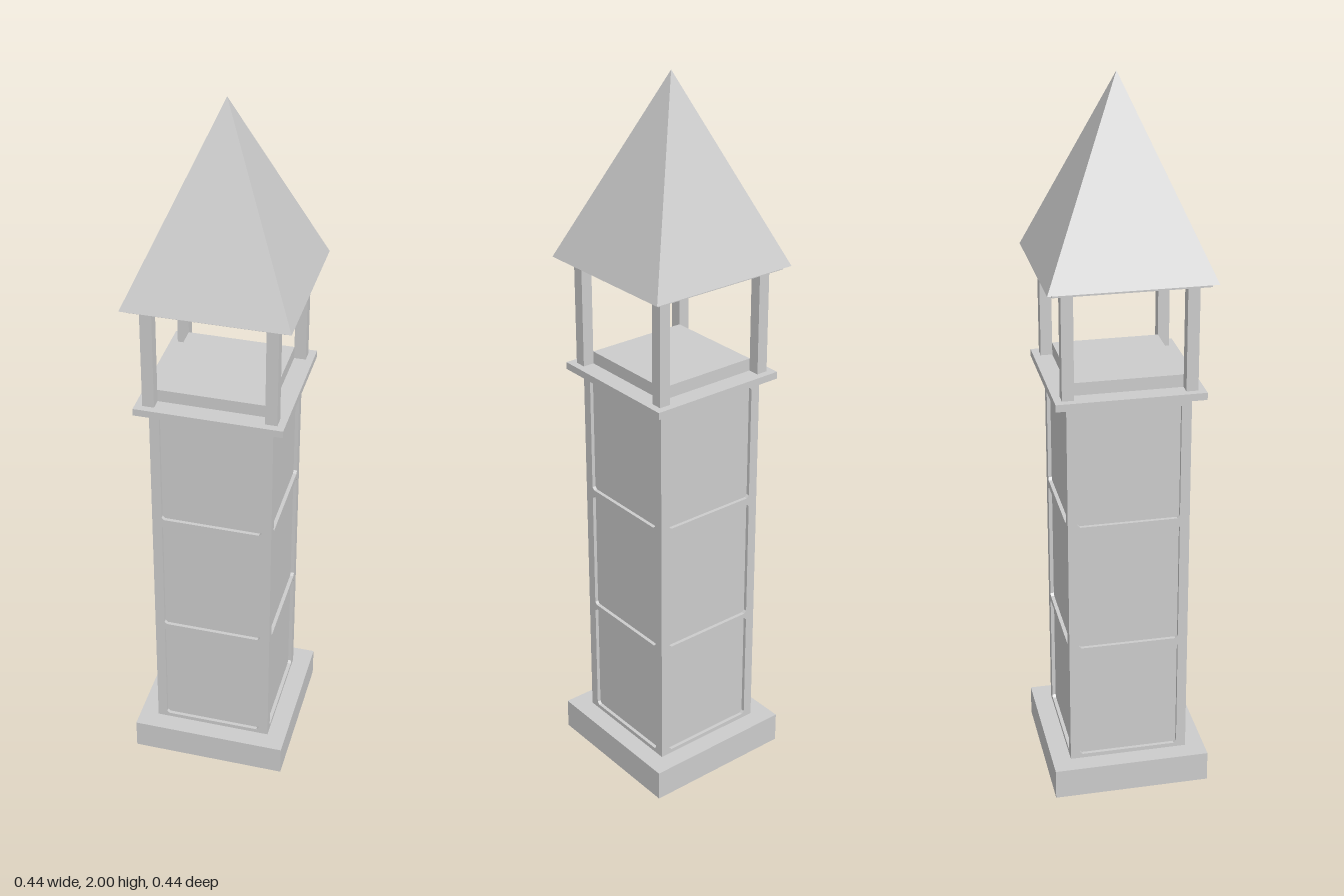
import * as THREE from 'three';

export function createModel() {
  const tower = new THREE.Group();
  tower.name = 'bellTower';
  const stone = new THREE.MeshStandardMaterial({ color: 0xcccccc });
  stone.name = 'paleGrey';

  const add = (name, geometry) => {
    const mesh = new THREE.Mesh(geometry, stone);
    mesh.name = name;
    tower.add(mesh);
    return mesh;
  };
  // Square block given by its half width and its bottom and top heights
  const block = (name, half, y0, y1, x = 0, z = 0) =>
    add(name, new THREE.BoxGeometry(half * 2, y1 - y0, half * 2)).position.set(x, (y0 + y1) / 2, z);

  block('base', 0.22, 0, 0.088);
  block('shaftCore', 0.157, 0.088, 1.18);
  block('ledge', 0.2, 1.18, 1.2);
  block('belfryFloor', 0.148, 1.2, 1.235);
  block('roofPlate', 0.205, 1.49, 1.5);

  // Raised frames around three recessed panels on each side
  const depth = 0.01, bottom = 0.088, top = 1.18;
  const rows = [[0.1, 0.435], [0.45, 0.805], [0.825, 1.16]];
  const frameShape = (half) => {
    const shape = new THREE.Shape();
    shape.moveTo(-half, bottom).lineTo(half, bottom).lineTo(half, top).lineTo(-half, top).closePath();
    const w = 0.14, c = 0.007; // opening half width and corner cut
    for (const [a, b] of rows) {
      const hole = new THREE.Path();
      hole.moveTo(-w + c, a).lineTo(-w, a + c).lineTo(-w, b - c).lineTo(-w + c, b);
      hole.lineTo(w - c, b).lineTo(w, b - c).lineTo(w, a + c).lineTo(w - c, a).closePath();
      shape.holes.push(hole);
    }
    return shape;
  };
  for (let i = 0; i < 4; i++) {
    const half = i % 2 ? 0.157 : 0.167; // side frames butt against front and back
    const geometry = new THREE.ExtrudeGeometry(frameShape(half), { depth, bevelEnabled: false });
    geometry.translate(0, 0, 0.157).rotateY(i * Math.PI / 2);
    add('panelFrame', geometry);
  }

  // Four belfry posts
  for (const x of [-1, 1]) for (const z of [-1, 1])
    block('belfryPost', 0.016, 1.2, 1.49, x * 0.164, z * 0.164);

  // Pyramid roof with flat faces
  const roof = new THREE.ConeGeometry(0.22 * Math.SQRT2, 0.5, 4, 1, false, Math.PI / 4).toNonIndexed();
  roof.computeVertexNormals();
  add('roof', roof).position.y = 1.75;

  return tower;
}
